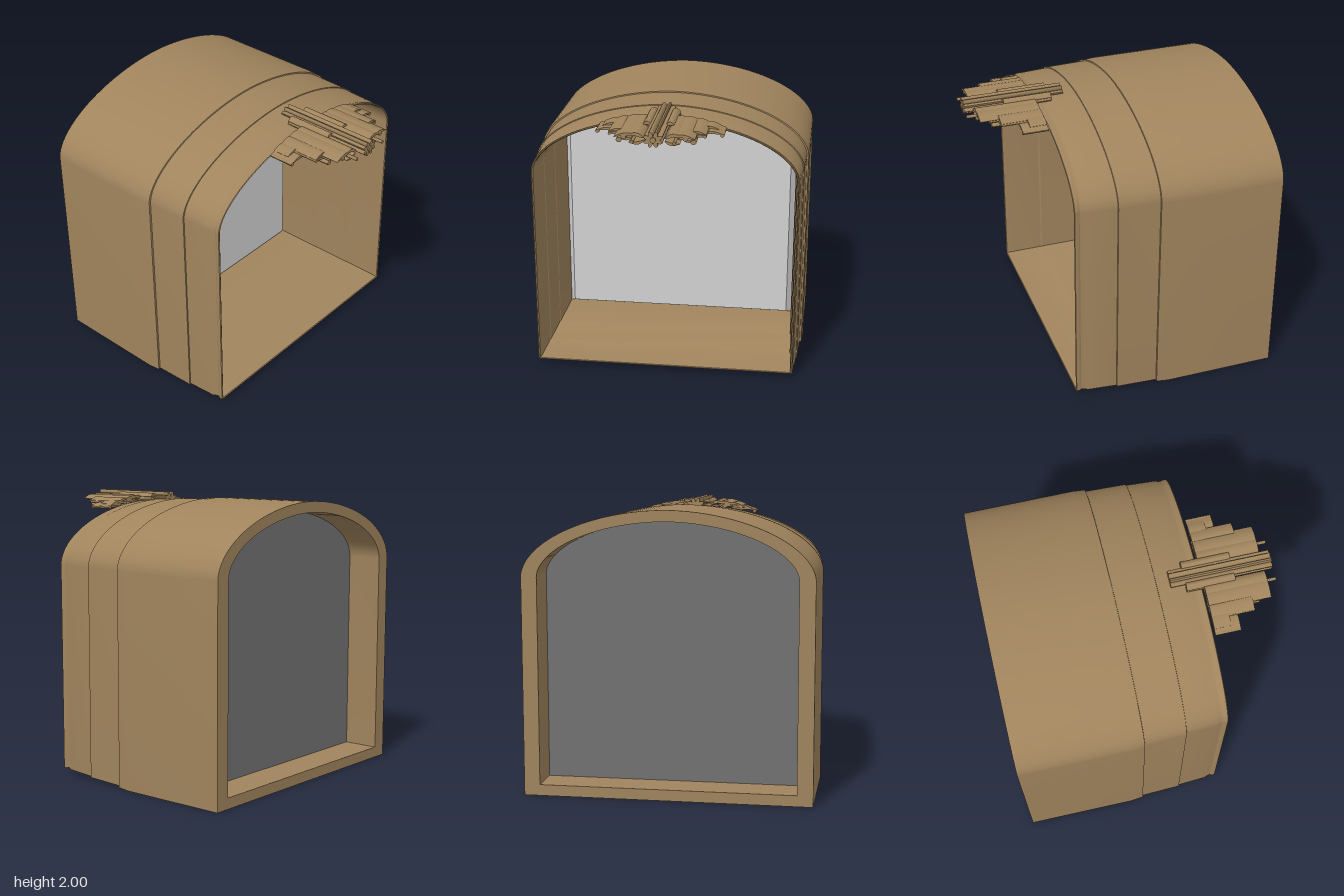
import * as THREE from 'three';
import { toCreasedNormals } from 'three/addons/utils/BufferGeometryUtils.js';

const wood = new THREE.MeshStandardMaterial({ color: 0xa0845d });
wood.name = 'antique wood';
const silver = new THREE.MeshStandardMaterial({ color: 0xd2d2d2 });
silver.name = 'mirror silver';
const grey = new THREE.MeshStandardMaterial({ color: 0x727272 });
grey.name = 'backing grey';

const SPRING = 1.52, RISE = 0.46, ARCH_STEPS = 56, POWER = 2 / 1.87;

// arched outline, inset by o, counter-clockwise seen from the front
function outline(o) {
  const w = 1 - o, inset = o * 0.7, pts = [new THREE.Vector2(-w, inset), new THREE.Vector2(w, inset)];
  for (let i = 0; i <= ARCH_STEPS; i++) {
    const t = (i / ARCH_STEPS) * Math.PI, c = Math.cos(t), s = Math.max(0, Math.sin(t));
    pts.push(new THREE.Vector2(
      Math.sign(c) * Math.pow(Math.abs(c), POWER) * w,
      SPRING + Math.pow(s, POWER) * (RISE - inset)));
  }
  return pts;
}

// sweeps a profile of [inset, z] points round the arched outline
function sweep(profile) {
  const pos = [], idx = [], n = outline(0).length;
  for (const [o, z] of profile) for (const p of outline(o)) pos.push(p.x, p.y, z);
  for (let i = 0; i < profile.length - 1; i++) {
    for (let j = 0; j < n; j++) {
      const k = (j + 1) % n, a = i * n + j, b = i * n + k, c = a + n, d = b + n;
      idx.push(a, b, d, a, d, c);
    }
  }
  const g = new THREE.BufferGeometry();
  g.setAttribute('position', new THREE.Float32BufferAttribute(pos, 3));
  g.setIndex(idx);
  return toCreasedNormals(g.toNonIndexed(), 0.5);
}

function add(parent, name, geometry, material) {
  const m = new THREE.Mesh(geometry, material);
  m.name = name;
  parent.add(m);
  return m;
}

// straight prism along z
function prism(pts, z0, z1) {
  const g = new THREE.ExtrudeGeometry(new THREE.Shape(pts), { depth: z1 - z0, bevelEnabled: false });
  g.translate(0, 0, z0);
  return toCreasedNormals(g, 0.7);
}

// elliptical rod section
function oval(x, y, rx, ry, turn = 0, n = 10) {
  const pts = [];
  for (let i = 0; i < n; i++) {
    const a = (i / n) * Math.PI * 2, u = Math.cos(a) * rx, v = Math.sin(a) * ry;
    pts.push(new THREE.Vector2(x + u * Math.cos(turn) - v * Math.sin(turn), y + u * Math.sin(turn) + v * Math.cos(turn)));
  }
  return pts;
}

// curved leaf section from (x0,y0) to (x1,y1), bowed by bow
function leaf(x0, y0, x1, y1, bow, width) {
  const top = [], low = [], n = 8;
  const L = Math.hypot(x1 - x0, y1 - y0), nx = -(y1 - y0) / L, ny = (x1 - x0) / L;
  for (let i = 0; i <= n; i++) {
    const t = i / n, b = bow * Math.sin(t * Math.PI), w = width * (0.1 + 0.9 * Math.sin(Math.PI * Math.pow(t, 0.7))) / 2;
    const x = x0 + (x1 - x0) * t, y = y0 + (y1 - y0) * t;
    top.push(new THREE.Vector2(x + nx * (b + w), y + ny * (b + w)));
    low.unshift(new THREE.Vector2(x + nx * (b - w), y + ny * (b - w)));
  }
  return [...top, ...low];
}

export function createModel() {
  const model = new THREE.Group();
  model.name = 'archedMirror';

  // deep stepped frame: outside back to front, lip, then inside front to back
  add(model, 'frame', sweep([
    [0, -1], [0, -0.2], [0.008, -0.11], [0.02, -0.108],
    [0.029, 0.188], [0.037, 0.19], [0.048, 0.4], [0.058, 0.43], [0.06, 0.45],
    [0.053, 0.465], [0.054, 0.485], [0.06, 0.49], [0.068, 0.485], [0.073, 0.45],
    [0.08, 0.195], [0.086, 0.185], [0.092, -0.105], [0.098, -0.115],
    [0.106, -0.5], [0.108, -0.74], [0.11, -1], [0, -1],
  ]), wood);

  // bevelled glass
  const glass = new THREE.Group();
  glass.name = 'glass';
  model.add(glass);
  add(glass, 'glassBevel', sweep([[0.104, -0.51], [0.145, -0.45]]), silver);
  const pane = new THREE.ShapeGeometry(new THREE.Shape(outline(0.145)));
  pane.translate(0, 0, -0.45);
  add(glass, 'glassPane', pane, silver);

  // board behind the glass
  add(model, 'backing', prism(outline(0.104), -0.74, -0.73), grey);

  // carved crest made of long prisms
  const crest = new THREE.Group();
  crest.name = 'crest';
  model.add(crest);

  // central flower: core and petals
  add(crest, 'flowerCore', prism(oval(0, 1.952, 0.02, 0.02), 0.28, 1), wood);
  for (let i = 0; i < 8; i++) {
    const a = (i / 8) * Math.PI * 2 + Math.PI / 8;
    const x = Math.cos(a) * 0.042, y = 1.953 + Math.sin(a) * 0.031;
    const back = y > 1.95 ? 0.28 : 0.4;
    add(crest, 'petal', prism(oval(x, y, 0.025, 0.014, a), back, 0.99), wood);
  }

  // leaves: x0, y0, x1, y1, bow, width, back z, front z
  const leaves = [
    [0.05, 1.975, 0.11, 1.968, 0.012, 0.024, 0.38, 0.72],
    [0.07, 1.945, 0.19, 1.955, 0.018, 0.024, 0.5, 0.93],
    [0.07, 1.925, 0.17, 1.912, -0.012, 0.02, 0.5, 0.93],
    [0.13, 1.962, 0.27, 1.945, 0.01, 0.022, 0.5, 0.93],
    [0.15, 1.925, 0.27, 1.932, 0.012, 0.022, 0.5, 0.87],
    [0.17, 1.908, 0.25, 1.892, -0.01, 0.018, 0.5, 0.8],
    [0.22, 1.952, 0.33, 1.938, 0.008, 0.018, 0.5, 0.8],
    [0.24, 1.918, 0.33, 1.922, 0.01, 0.02, 0.5, 0.8],
    [0.29, 1.936, 0.4, 1.922, 0.008, 0.016, 0.5, 0.62],
    [0.3, 1.912, 0.44, 1.902, 0.012, 0.018, 0.5, 0.68],
  ];
  // round scroll ends: x, y, rx, ry, back z, front z
  const scrolls = [
    [0.09, 1.95, 0.02, 0.016, 0.38, 0.7],
    [0.14, 1.935, 0.012, 0.012, 0.5, 0.995],
    [0.205, 1.945, 0.018, 0.014, 0.5, 0.93],
    [0.25, 1.9, 0.02, 0.016, 0.5, 0.85],
    [0.32, 1.926, 0.012, 0.01, 0.5, 0.8],
    [0.425, 1.9, 0.014, 0.012, 0.5, 0.68],
  ];
  for (const s of [1, -1]) {
    const side = s > 0 ? 'left' : 'right';
    for (const [x0, y0, x1, y1, bow, w, z0, z1] of leaves) {
      const pts = leaf(x0, y0, x1, y1, bow, w).map(p => new THREE.Vector2(p.x * s, p.y));
      add(crest, side + 'Leaf', prism(pts, z0, z1), wood);
    }
    for (const [x, y, rx, ry, z0, z1] of scrolls) {
      add(crest, side + 'Scroll', prism(oval(x * s, y, rx, ry), z0, z1), wood);
    }
  }
  return model;
}
